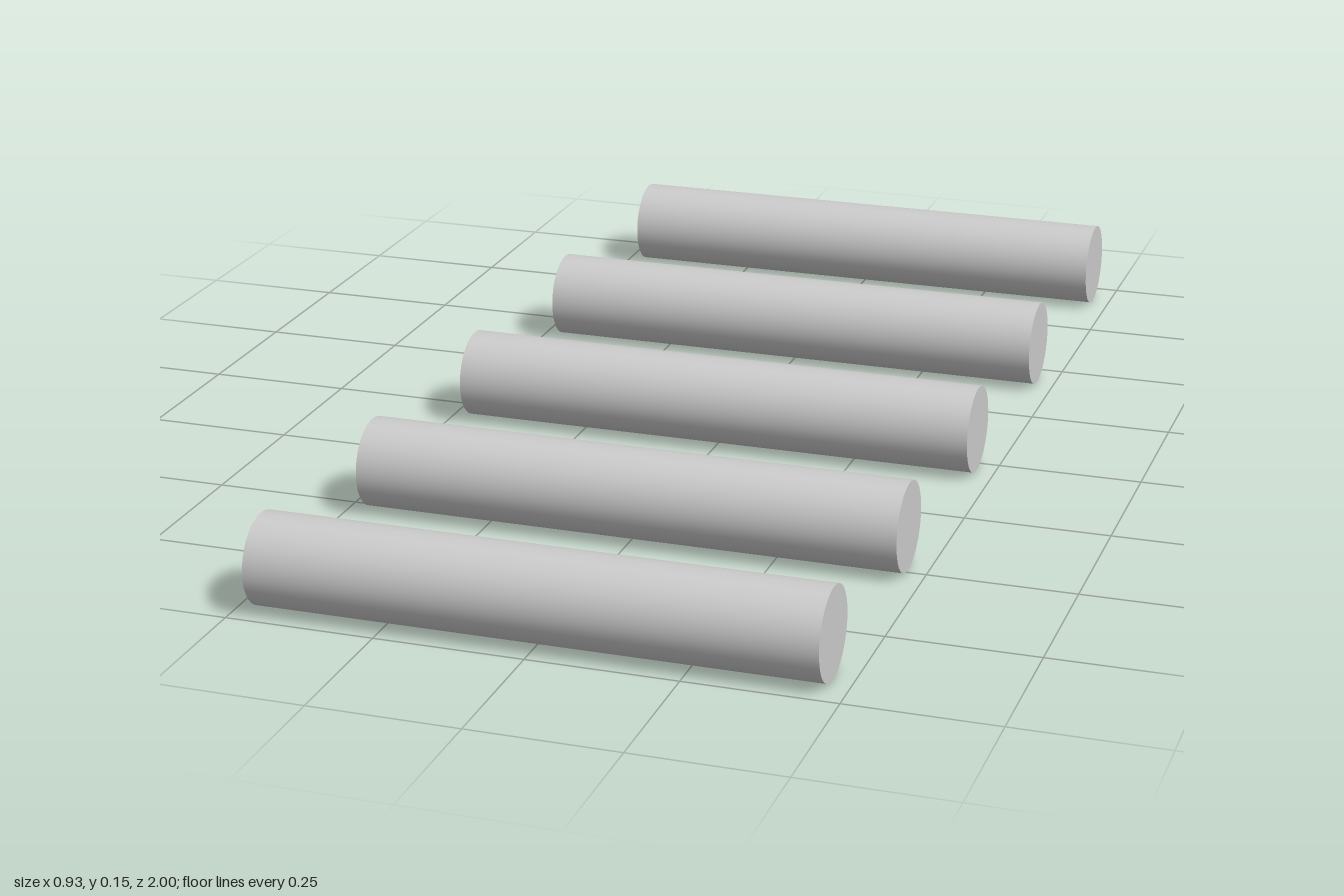
import * as THREE from 'three';

export function createModel() {
  const group = new THREE.Group();
  group.name = 'rodRow';
  const material = new THREE.MeshStandardMaterial({ color: 0xcccccc });

  // One solid round rod lying along x, shared by the whole row
  const radius = 0.076, length = 0.934;
  const rod = new THREE.CylinderGeometry(radius, radius, length, 48);
  rod.rotateZ(Math.PI / 2);

  // Slightly uneven spacing from back to front
  [-0.924, -0.434, 0.032, 0.49, 0.924].forEach((z, i) => {
    const mesh = new THREE.Mesh(rod, material);
    mesh.name = `rod${i + 1}`;
    mesh.position.set(0, radius, z);
    group.add(mesh);
  });
  return group;
}
